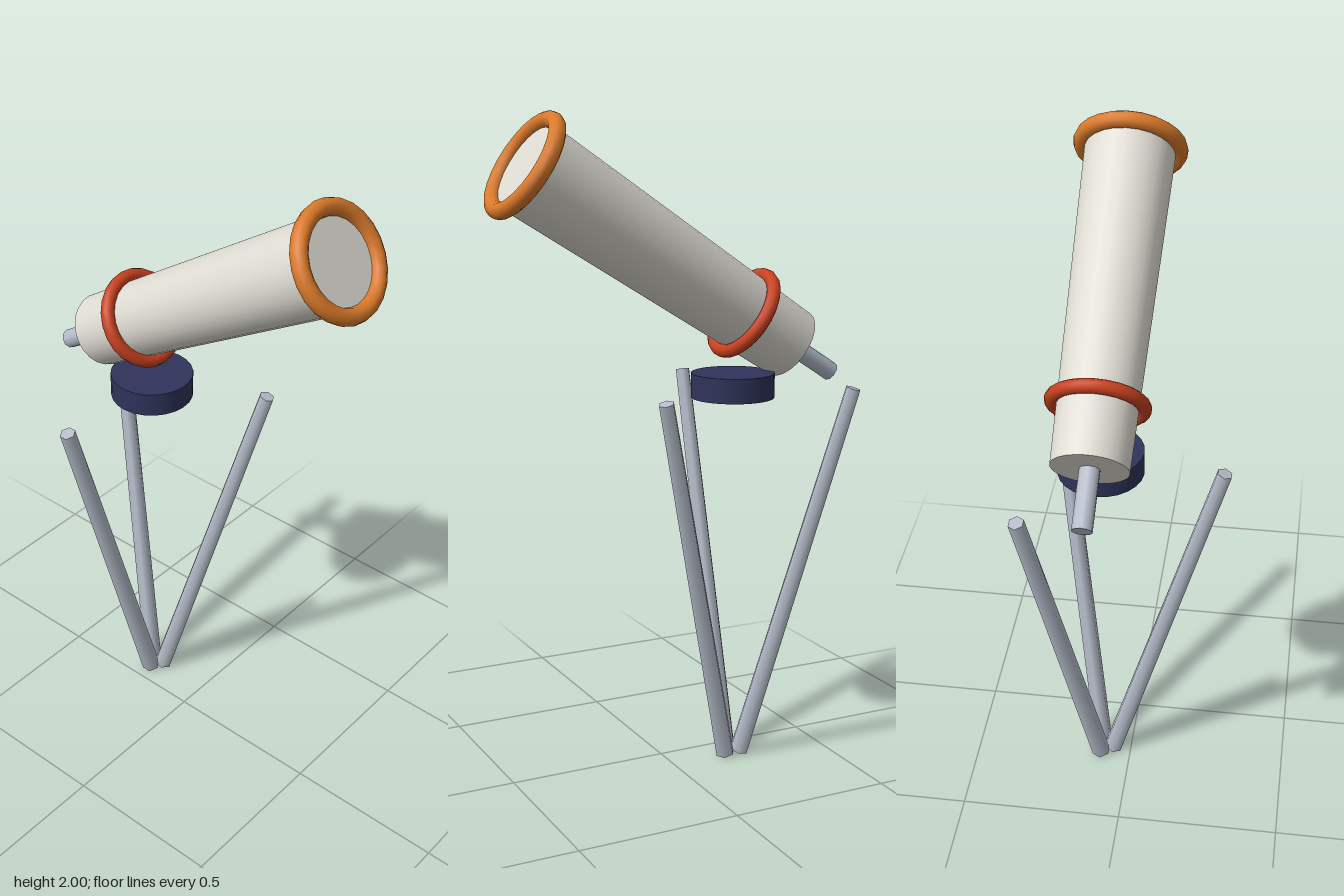
import * as THREE from 'three';

const mat = (name, color) => {
  const m = new THREE.MeshStandardMaterial({ color });
  m.name = name;
  return m;
};

export function createModel() {
  const cream = mat('cream', 0xdedbd2);
  const orange = mat('orange', 0xdb7a2a);
  const red = mat('red', 0xc8411f);
  const navy = mat('navy', 0x2f345a);
  const metal = mat('metal', 0xb6bdca);

  const model = new THREE.Group();
  model.name = 'telescope';
  const add = (parent, name, geometry, material, x, y, z) => {
    const mesh = new THREE.Mesh(geometry, material);
    mesh.name = name;
    mesh.position.set(x, y, z);
    parent.add(mesh);
    return mesh;
  };

  // Tilted optical tube; local y runs from the back end to the front end
  const cx = 0.083, length = 1.023;
  const tube = new THREE.Group();
  tube.name = 'tubeAssembly';
  tube.position.set(cx, 1.301, -0.399);
  tube.rotation.x = 1.0;
  model.add(tube);
  add(tube, 'tube', new THREE.CylinderGeometry(0.137, 0.112, length, 24), cream, 0, length / 2, 0);
  add(tube, 'eyepiece', new THREE.CylinderGeometry(0.03, 0.03, 0.22, 10), metal, 0, -0.07, 0);

  // Rings around the tube
  const ring = (name, R, r, y, material) =>
    add(tube, name, new THREE.TorusGeometry(R, r, 10, 24).rotateX(Math.PI / 2), material, 0, y, 0);
  ring('frontRing', 0.147, 0.025, length, orange);
  ring('rearRing', 0.131, 0.021, 0.193, red);

  // Mount hub
  add(model, 'hub', new THREE.CylinderGeometry(0.127, 0.127, 0.075, 24), navy, cx, 1.188, -0.202);

  // Three hexagonal legs meeting at the ground
  const up = new THREE.Vector3(0, 1, 0);
  const legs = [
    [[0.058, 0.007, -0.204], [-0.277, 1.183, -0.215]],
    [[0.096, 0.007, -0.229], [0.273, 1.183, -0.512]],
    [[0.095, 0.007, -0.18], [0.258, 1.183, 0.11]],
  ];
  for (const [a, b] of legs) {
    const foot = new THREE.Vector3(...a), dir = new THREE.Vector3(...b).sub(foot);
    const mid = foot.clone().addScaledVector(dir, 0.5);
    const leg = add(model, 'leg', new THREE.CylinderGeometry(0.024, 0.03, dir.length(), 6), metal, mid.x, mid.y, mid.z);
    leg.quaternion.setFromUnitVectors(up, dir.normalize());
  }
  return model;
}
